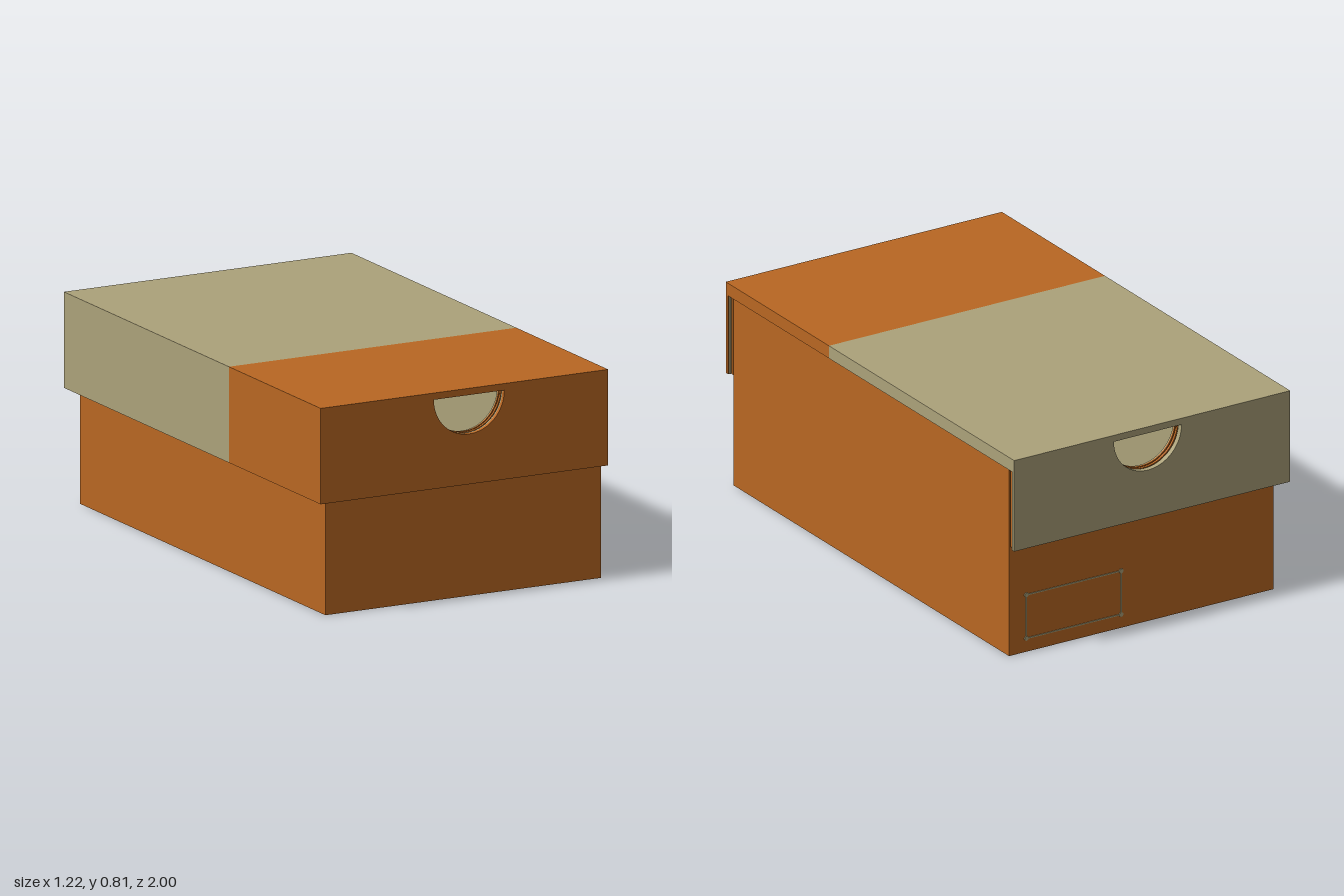
import * as THREE from 'three';

const orange = new THREE.MeshStandardMaterial({ color: 0xb96722 });
orange.name = 'orange card';
const tan = new THREE.MeshStandardMaterial({ color: 0xaca27a });
tan.name = 'tan card';

// Thumb hole: a half disc with its flat side up
const HOLE = { x: 0.02, y: 0.787, r: 0.15 };
const SPLIT = 0.285; // z where the lid changes colour
const TOP = 0.813;

// Box given by its limits
function slab(name, [x0, x1], [y0, y1], [z0, z1], material) {
  const geo = new THREE.BoxGeometry(x1 - x0, y1 - y0, z1 - z0);
  const mesh = new THREE.Mesh(geo, material);
  mesh.position.set((x0 + x1) / 2, (y0 + y1) / 2, (z0 + z1) / 2);
  mesh.name = name;
  return mesh;
}

// Upright end panel with the thumb hole, or a notch if the panel is too low
function endPanel(name, [x0, x1], [y0, y1], [z0, z1], material) {
  const shape = new THREE.Shape();
  shape.moveTo(x0, y0);
  shape.lineTo(x1, y0);
  shape.lineTo(x1, y1);
  if (y1 < HOLE.y) {
    const a = Math.asin((HOLE.y - y1) / HOLE.r);
    shape.absarc(HOLE.x, HOLE.y, HOLE.r, -a, -Math.PI + a, true);
  } else {
    const hole = new THREE.Path();
    hole.absarc(HOLE.x, HOLE.y, HOLE.r, 0, -Math.PI, true);
    hole.closePath();
    shape.holes.push(hole);
  }
  shape.lineTo(x0, y1);
  shape.closePath();
  const geo = new THREE.ExtrudeGeometry(shape, { depth: z1 - z0, bevelEnabled: false, curveSegments: 32 });
  const mesh = new THREE.Mesh(geo, material);
  mesh.position.z = z0;
  mesh.name = name;
  return mesh;
}

// Limits along z for a layer at the front (s = 1) or back (s = -1)
const zRange = (s, inner, outer) => (s > 0 ? [inner, outer] : [-outer, -inner]);

function createBody() {
  const body = new THREE.Group();
  body.name = 'boxBody';
  const x = [-0.567, 0.606], y = [0, 0.804];
  const inX = [-0.555, 0.594];

  body.add(slab('floor', x, [0, 0.006], [-0.955, 0.955], orange));
  body.add(slab('floorLining', inX, [0.006, 0.012], [-0.943, 0.943], tan));
  body.add(slab('rightWall', [-0.567, -0.561], y, [-0.955, 0.955], orange));
  body.add(slab('rightLining', [-0.561, -0.555], [0.006, 0.804], [-0.943, 0.943], tan));
  body.add(slab('leftWall', [0.6, 0.606], y, [-0.955, 0.955], orange));
  body.add(slab('leftLining', [0.594, 0.6], [0.006, 0.804], [-0.943, 0.943], tan));
  for (const [s, side] of [[1, 'front'], [-1, 'back']]) {
    body.add(endPanel(side + 'Wall', [-0.561, 0.6], y, zRange(s, 0.949, 0.955), orange));
    body.add(endPanel(side + 'Lining', [-0.561, 0.6], [0.006, 0.804], zRange(s, 0.943, 0.949), tan));
  }
  return body;
}

function createLid() {
  const lid = new THREE.Group();
  lid.name = 'lid';
  const y0 = 0.443;
  const zones = [['front', 1, [SPLIT, 1], orange], ['back', -1, [-1, SPLIT], tan]];

  for (const [side, s, z, material] of zones) {
    // Top sheet with a tan underside
    const sheet = [material, material, material, tan, material, material];
    lid.add(slab(side + 'Top', [-0.612, 0.612], [0.806, TOP], z, sheet));
    // Narrow lip on the left, deep skirt on the right
    lid.add(slab(side + 'Lip', [0.607, 0.612], [0.762, 0.806], z, material));
    lid.add(slab(side + 'SideSkirt', [-0.612, -0.6], [y0, 0.806], z, material));
    // End skirt with a lining and a loose folded flap
    lid.add(endPanel(side + 'Skirt', [-0.6, 0.612], [y0, 0.806], zRange(s, 0.985, 1), material));
    lid.add(endPanel(side + 'SkirtLining', [-0.6, 0.607], [y0 + 0.002, 0.806], zRange(s, 0.978, 0.985), tan));
    lid.add(endPanel(side + 'Flap', [-0.59, 0.604], [y0 + 0.004, 0.765], zRange(s, 0.961, 0.972), orange));
  }
  lid.add(slab('sideFlap', [-0.59, -0.579], [y0 + 0.004, 0.765], [-0.955, 0.955], orange));
  return lid;
}

// Thin label outline with corner dots on the back
function createLabelFrame() {
  const frame = new THREE.Group();
  frame.name = 'labelFrame';
  const xs = [0.11, 0.53], ys = [0.055, 0.232], z = [-0.958, -0.955], t = 0.0025;
  for (const y of ys) frame.add(slab('labelLine', xs, [y - t, y + t], z, tan));
  for (const x of xs) {
    frame.add(slab('labelLine', [x - t, x + t], ys, z, tan));
    for (const y of ys) {
      const dot = new THREE.Mesh(new THREE.CylinderGeometry(0.009, 0.009, 0.004, 16), tan);
      dot.rotation.x = Math.PI / 2;
      dot.position.set(x, y, -0.957);
      dot.name = 'labelDot';
      frame.add(dot);
    }
  }
  return frame;
}

export function createModel() {
  const model = new THREE.Group();
  model.name = 'shoeBox';
  model.add(createBody(), createLid(), createLabelFrame());
  return model;
}
